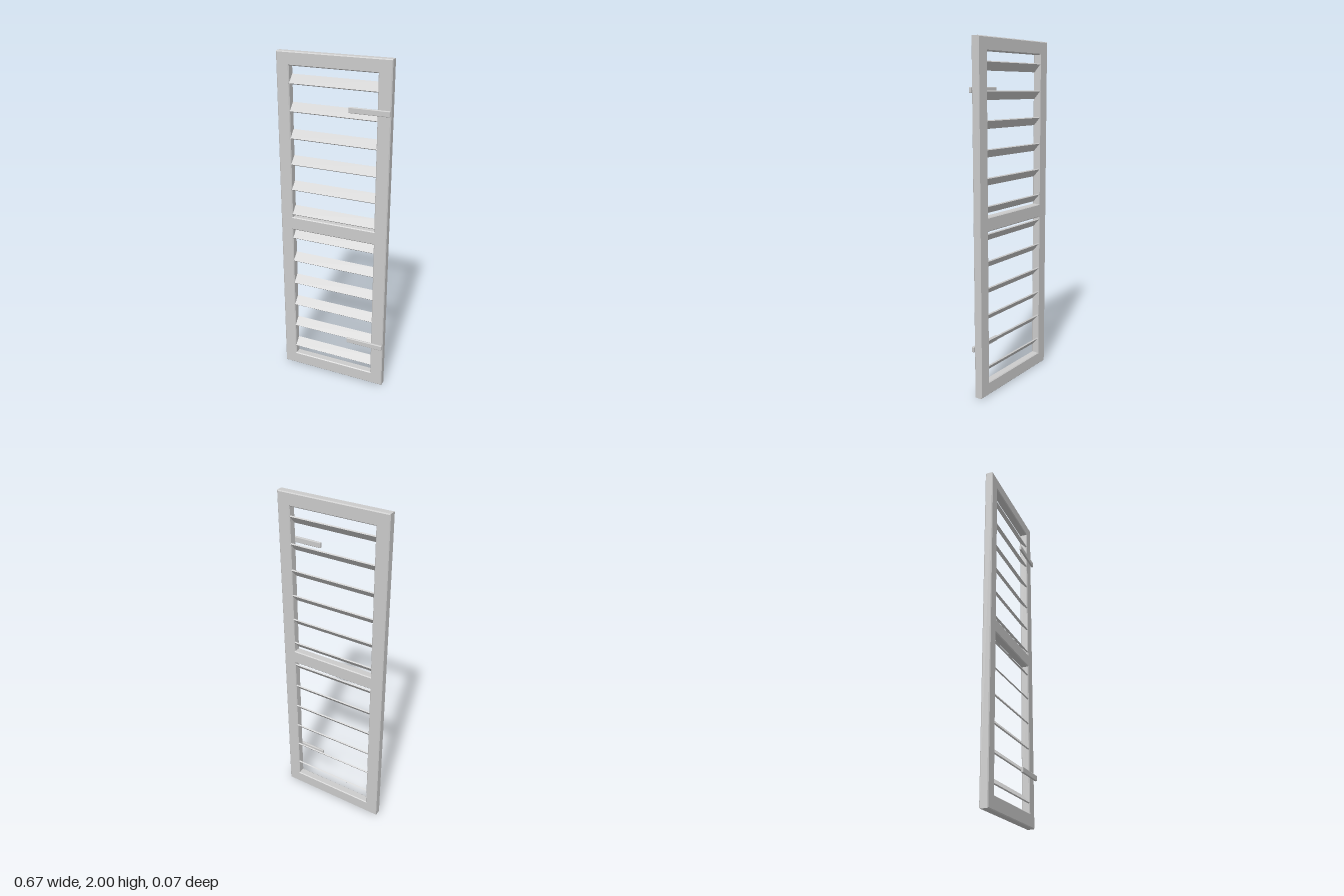
import * as THREE from 'three';
import { RoundedBoxGeometry } from 'three/addons/geometries/RoundedBoxGeometry.js';

const BEVEL = 0.005;
const material = new THREE.MeshStandardMaterial({ color: 0xcccccc });

function rectangle(target, x0, y0, x1, y1) {
  target.moveTo(x0, y0);
  target.lineTo(x1, y0);
  target.lineTo(x1, y1);
  target.lineTo(x0, y1);
  target.closePath();
  return target;
}

function addPart(group, name, geometry, x, y, z) {
  const mesh = new THREE.Mesh(geometry, material);
  mesh.name = name;
  mesh.position.set(x, y, z);
  group.add(mesh);
  return mesh;
}

export function createModel() {
  const group = new THREE.Group();
  group.name = 'louveredShutter';

  // Frame: two stiles and three rails with chamfered edges, in one piece
  const outline = rectangle(new THREE.Shape(), -0.328, BEVEL, 0.328, 2 - BEVEL);
  for (const [bottom, top] of [[0.072, 0.965], [1.035, 1.93]]) {
    outline.holes.push(rectangle(new THREE.Path(), -0.262, bottom, 0.262, top));
  }
  const frame = new THREE.ExtrudeGeometry(outline, {
    depth: 0.038,
    bevelEnabled: true,
    bevelSize: BEVEL,
    bevelThickness: BEVEL,
    bevelSegments: 1,
  });
  addPart(group, 'frame', frame, 0, 0, -0.029);

  // Slats: evenly spaced, front edge tilted down
  const slat = new THREE.BoxGeometry(0.524, 0.008, 0.06);
  for (let i = 0; i < 12; i++) {
    const mesh = addPart(group, 'slat', slat, 0, 0.154 + i * 0.1542, -0.01);
    mesh.rotation.x = THREE.MathUtils.degToRad(48);
  }

  // Hinge straps standing just off the front face
  const strap = new RoundedBoxGeometry(0.231, 0.032, 0.014, 2, 0.004);
  for (const y of [0.285, 1.724]) {
    addPart(group, 'hingeStrap', strap, 0.2175, y, 0.026);
  }

  return group;
}
